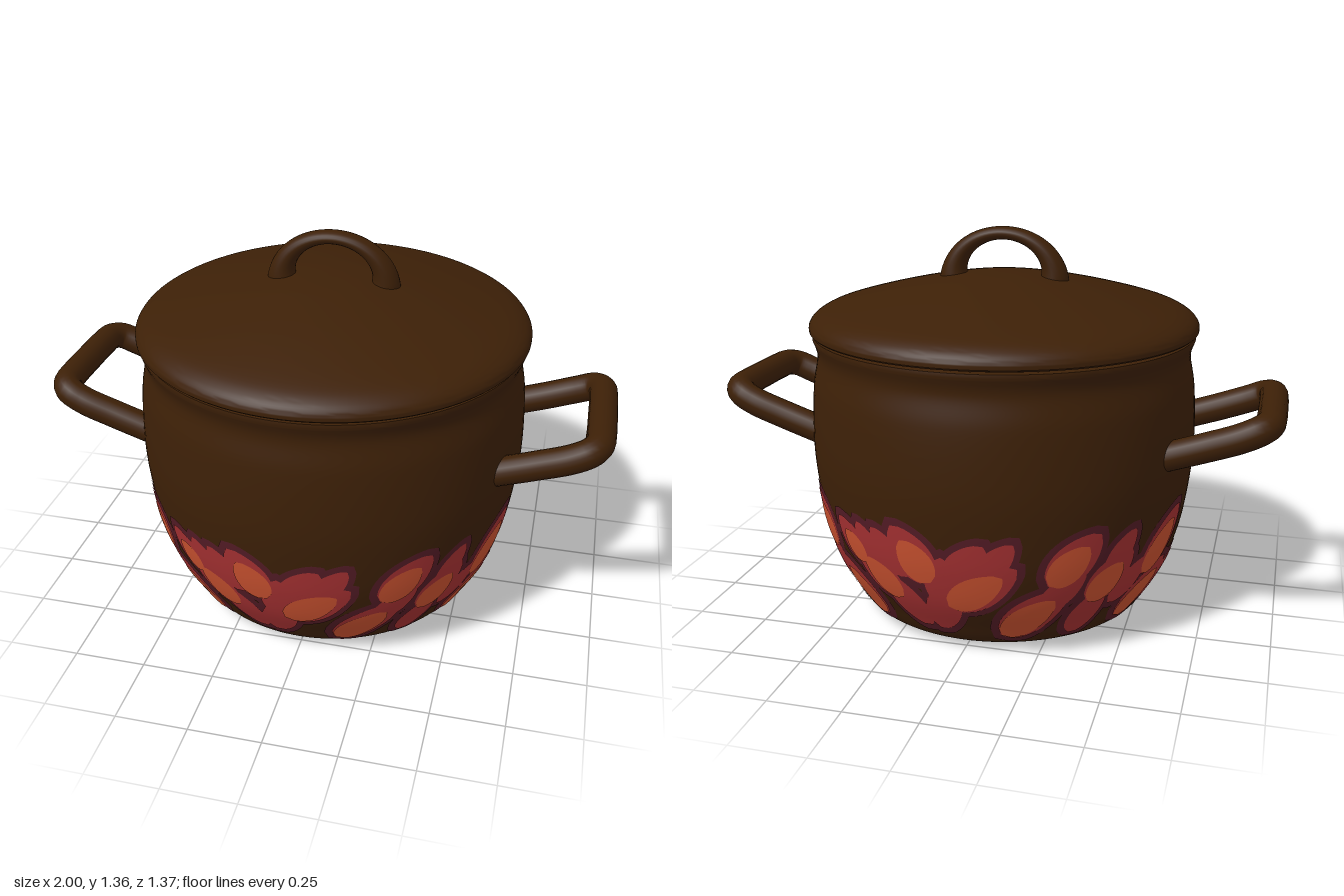
import * as THREE from 'three';
import { mergeGeometries, mergeVertices, toCreasedNormals } from 'three/addons/utils/BufferGeometryUtils.js';

const mat = (name, color) => Object.assign(new THREE.MeshStandardMaterial({ color }), { name });

// Curved sheet from a rule fn(u, v) -> [x, y, z]
function grid(nu, nv, fn) {
  const pos = [], idx = [];
  for (let j = 0; j <= nv; j++)
    for (let i = 0; i <= nu; i++) pos.push(...fn(i / nu, j / nv));
  for (let j = 0; j < nv; j++)
    for (let i = 0; i < nu; i++) {
      const a = j * (nu + 1) + i, d = a + nu + 1;
      idx.push(a, a + 1, d, a + 1, d + 1, d);
    }
  const g = new THREE.BufferGeometry();
  g.setAttribute('position', new THREE.Float32BufferAttribute(pos, 3));
  g.setIndex(idx);
  g.computeVertexNormals();
  return g;
}

const vecs = pts => pts.map(p => new THREE.Vector2(...p));
const spline = (pts, n) => new THREE.SplineCurve(vecs(pts)).getPoints(n);
const lathe = pts => toCreasedNormals(new THREE.LatheGeometry(pts, 128), 0.7);

// Outer wall of the pot, from the foot to the flared lip
const wall = spline([[0.44, 0], [0.515, 0.03], [0.565, 0.11], [0.612, 0.2], [0.645, 0.3], [0.666, 0.4],
  [0.684, 0.55], [0.686, 0.68], [0.678, 0.82], [0.661, 0.925], [0.676, 0.985]], 80);

function wallRadius(y) {
  const i = Math.max(1, wall.findIndex(p => p.y >= y));
  const a = wall[i - 1], b = wall[i];
  return a.x + (b.x - a.x) * (y - a.y) / (b.y - a.y);
}

// Flame petal lying on the wall: angle and lean in degrees, lift away from the wall
function petal(angle, y, length, width, lean, lift) {
  const l = THREE.MathUtils.degToRad(lean), th0 = THREE.MathUtils.degToRad(angle);
  const r0 = wallRadius(y);
  return grid(6, 14, (u, t) => {
    const w = (u - 0.5) * (width * Math.pow(Math.max(0, Math.sin(Math.PI * Math.pow(t, 0.85))), 0.6) + 0.004);
    const s = (t - 0.5) * length;
    const py = Math.max(0.04, y + s * Math.cos(l) - w * Math.sin(l));
    const th = th0 + (s * Math.sin(l) + w * Math.cos(l)) / r0;
    const slope = (wallRadius(py + 0.01) - wallRadius(py - 0.01)) / 0.02;
    const k = lift / Math.hypot(1, slope);
    const r = wallRadius(py) + k;
    return [r * Math.sin(th), py - k * slope, r * Math.cos(th)];
  });
}

// Orange hearts: angle, height, length, width, lean
const hearts = [
  [-75, 0.147, 0.19, 0.105, -38], [-66, 0.268, 0.17, 0.115, -38], [-52, 0.36, 0.17, 0.115, -42],
  [-34, 0.35, 0.13, 0.085, -45], [-38, 0.152, 0.2, 0.115, -42], [-24, 0.262, 0.18, 0.105, -50],
  [-11, 0.36, 0.17, 0.12, -35], [6, 0.265, 0.22, 0.11, 55], [22, 0.152, 0.22, 0.115, 48],
  [33, 0.355, 0.18, 0.115, 45], [46, 0.266, 0.17, 0.11, 42], [65, 0.152, 0.21, 0.12, 48],
  [68, 0.33, 0.22, 0.12, 42],
];
// Red tongues without a heart
const tongues = [
  [-82, 0.29, 0.18, 0.08, -30], [-61, 0.39, 0.17, 0.08, -30], [-57, 0.18, 0.24, 0.12, -28],
  [-50, 0.26, 0.2, 0.11, -40], [-28, 0.38, 0.16, 0.09, -35], [-20, 0.37, 0.2, 0.10, -40],
  [-17, 0.19, 0.24, 0.12, -35], [-4, 0.19, 0.22, 0.12, 20], [4, 0.36, 0.2, 0.13, 35],
  [-3, 0.29, 0.2, 0.13, 0], [12, 0.38, 0.18, 0.09, 40], [42, 0.15, 0.2, 0.11, 25],
  [50, 0.37, 0.18, 0.09, 35], [32, 0.26, 0.2, 0.10, 45], [56, 0.24, 0.2, 0.10, 42],
  [78, 0.18, 0.2, 0.10, 42],
];

export function createModel() {
  const group = new THREE.Group();
  const brown = mat('brown enamel', 0x3d2007);
  const maroon = mat('maroon', 0x541c26);
  const red = mat('red', 0xa63132);
  const orange = mat('orange', 0xcb5230);
  const add = (name, geo, material, parent = group) => {
    const m = new THREE.Mesh(geo, material);
    m.name = name;
    parent.add(m);
    return m;
  };

  // Pot with flared lip and hollow inside
  add('pot', lathe([new THREE.Vector2(0, 0), ...wall,
    ...vecs([[0.674, 0.998], [0.65, 1.0], [0.64, 0.96], [0.65, 0.8], [0.655, 0.6], [0.635, 0.4],
      [0.58, 0.2], [0.48, 0.05], [0, 0.04]])]), brown);

  // Domed lid with a plug that sits in the rim
  add('lid', lathe([
    ...vecs([[0, 0.985], [0.632, 0.985], [0.635, 1.008], [0.68, 1.008]]),
    ...spline([[0.686, 1.014], [0.684, 1.035], [0.66, 1.062], [0.6, 1.09], [0.45, 1.132],
      [0.3, 1.166], [0.15, 1.192], [0.06, 1.199], [0, 1.2]], 40)]), brown);

  // Arched lid handle, thicker towards its feet
  add('lidHandle', mergeVertices(grid(20, 40, (u, v) => {
    const a = -0.1 + v * (Math.PI + 0.2), p = u * Math.PI * 2;
    const top = Math.pow(Math.max(0, Math.sin(a)), 0.9);
    const thick = 0.05 - 0.027 * top, deep = 0.047 - 0.011 * top;
    const r = thick * Math.cos(p);
    return [Math.cos(a) * (0.183 + r), 1.182 + Math.sin(a) * (0.154 + r), -deep * Math.sin(p)];
  }), 1e-5), brown).geometry.computeVertexNormals();

  // Side handles: rounded loops rising outwards
  const half = [[0.6, 0.64, 0.248], [0.75, 0.69, 0.248], [0.86, 0.73, 0.248], [0.918, 0.756, 0.236],
    [0.944, 0.766, 0.2], [0.95, 0.768, 0.13]];
  const path = [...half, [0.951, 0.768, 0], ...half.slice().reverse().map(([x, y, z]) => [x, y, -z])];
  const loop = new THREE.TubeGeometry(
    new THREE.CatmullRomCurve3(path.map(p => new THREE.Vector3(...p))), 80, 0.05, 18);
  add('leftHandle', loop, brown);
  add('rightHandle', loop, brown).rotation.y = Math.PI;

  // Painted flames, the same on both halves of the wall
  const shapes = [...hearts.map(([a, y, l, w, t]) => {
    const s = 0.025, k = THREE.MathUtils.degToRad(t);
    return [a + THREE.MathUtils.radToDeg(s * Math.sin(k) / 0.63), y + s * Math.cos(k), l + 0.06, w + 0.03, t];
  }), ...tongues];
  const layer = (list, grow, lift) => mergeGeometries(
    list.map(([a, y, l, w, t]) => petal(a, y, l + grow * 1.4, w + grow, t, lift)));
  const layers = [
    ['flameOutline', layer(shapes, 0.045, 0.0025), maroon],
    ['flameTongues', layer(shapes, 0, 0.005), red],
    ['flameHearts', layer(hearts, 0, 0.0075), orange],
  ];
  for (const side of ['front', 'back']) {
    const flames = new THREE.Group();
    flames.name = side + 'Flames';
    if (side === 'back') flames.rotation.y = Math.PI;
    for (const [name, geo, material] of layers) add(name, geo, material, flames);
    group.add(flames);
  }
  return group;
}
